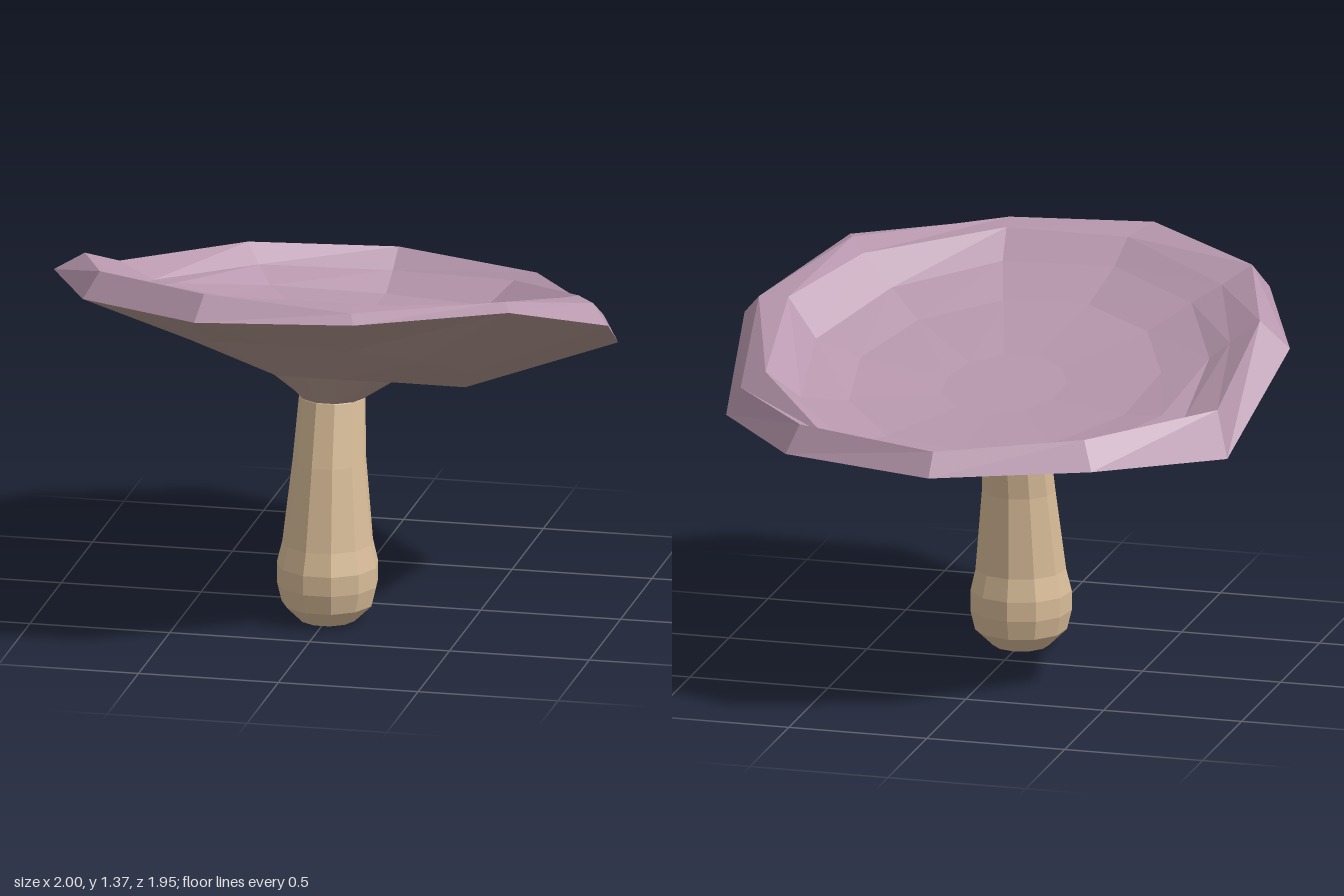
import * as THREE from 'three';

const SIDES = 11;

// Ring around (0, z), starting at the back; y tilts along z and x
function ring(r, cz, y, slopeZ = 0, slopeX = 0) {
  return Array.from({ length: SIDES }, (_, i) => {
    const a = (i / SIDES) * Math.PI * 2;
    const x = Math.sin(a) * r, z = -Math.cos(a) * r;
    return [x, y + slopeZ * z + slopeX * x, cz + z];
  });
}

// Skin a sequence of rings, running from the top outward and down
function loft(name, rings, color) {
  const pos = [];
  for (let k = 0; k < rings.length - 1; k++) {
    const a = rings[k], b = rings[k + 1];
    for (let i = 0; i < SIDES; i++) {
      const j = (i + 1) % SIDES;
      pos.push(...a[i], ...b[j], ...b[i]);
      pos.push(...a[i], ...a[j], ...b[j]);
    }
  }
  const geo = new THREE.BufferGeometry();
  geo.setAttribute('position', new THREE.Float32BufferAttribute(pos, 3));
  geo.computeVertexNormals();
  const mesh = new THREE.Mesh(geo, new THREE.MeshStandardMaterial({ color, flatShading: true }));
  mesh.name = name;
  return mesh;
}

export function createModel() {
  const group = new THREE.Group();
  group.name = 'mushroom';

  // Irregular outer edge of the cap
  const rim = [
    [0, 0.94, -0.98], [0.58, 0.92, -0.76], [0.92, 0.91, -0.32], [1, 1.13, 0.2],
    [0.75, 1.3, 0.67], [0.26, 1.31, 0.97], [-0.31, 1.28, 0.96], [-0.78, 1.24, 0.64],
    [-1, 1.18, 0.12], [-0.92, 0.92, -0.4], [-0.54, 0.955, -0.8],
  ];
  // Raised crest of the lip
  const crest = [
    [0, 1.02, -0.92], [0.54, 1.02, -0.72], [0.87, 1.01, -0.31], [0.94, 1.2, 0.17],
    [0.72, 1.315, 0.59], [0.24, 1.335, 0.91], [-0.29, 1.365, 0.89], [-0.73, 1.33, 0.59],
    [-0.88, 1.26, 0.16], [-0.87, 1.08, -0.35], [-0.5, 1.055, -0.75],
  ];
  // Inner edge of the lip, standing proud on the back left
  const bowlEdge = [
    [0, 0.96, -0.83], [0.46, 0.99, -0.71], [0.78, 1.075, -0.31], [0.83, 1.21, 0.16],
    [0.66, 1.28, 0.52], [0.22, 1.33, 0.8], [-0.22, 1.33, 0.8], [-0.64, 1.27, 0.52],
    [-0.78, 1.18, 0.13], [-0.74, 1.03, -0.31], [-0.45, 0.99, -0.7],
  ];

  // Dished top of the cap
  group.add(loft('capTop', [
    ring(0, 0, 1.005),
    ring(0.22, 0, 1.005, 0.2, -0.03),
    ring(0.55, 0, 1.035, 0.22, -0.03),
    ring(0.72, 0, 1.08, 0.24, -0.03),
    bowlEdge, crest, rim,
  ], 0xb898ae));

  // Belly of the underside, sagging at the back left
  const belly = [
    [0, 0.79, -0.4], [0.27, 0.785, -0.32], [0.42, 0.775, -0.11], [0.5, 0.92, 0.17],
    [0.38, 1.03, 0.43], [0.14, 1.09, 0.58], [-0.14, 1.1, 0.58], [-0.38, 1.05, 0.43],
    [-0.5, 0.97, 0.17], [-0.43, 0.88, -0.11], [-0.27, 0.83, -0.32],
  ];
  // Dark underside, flaring out from the stem
  group.add(loft('capUnderside', [
    rim,
    belly,
    ring(0.21, 0.11, 0.845, 0.29),
    ring(0.113, 0.135, 0.79),
  ], 0xae938b));

  // Leaning stem with a bulbous foot: height, radius, centre z
  const stem = [
    [0.84, 0.1, 0.13], [0.79, 0.117, 0.135], [0.57, 0.13, 0.178], [0.28, 0.16, 0.205],
    [0.2, 0.179, 0.208], [0.13, 0.179, 0.208], [0.06, 0.162, 0.208], [0, 0.1, 0.21], [0, 0, 0.21],
  ].map(([y, r, z]) => ring(r, z, y));
  group.add(loft('stem', stem, 0xd8bc98));

  return group;
}
